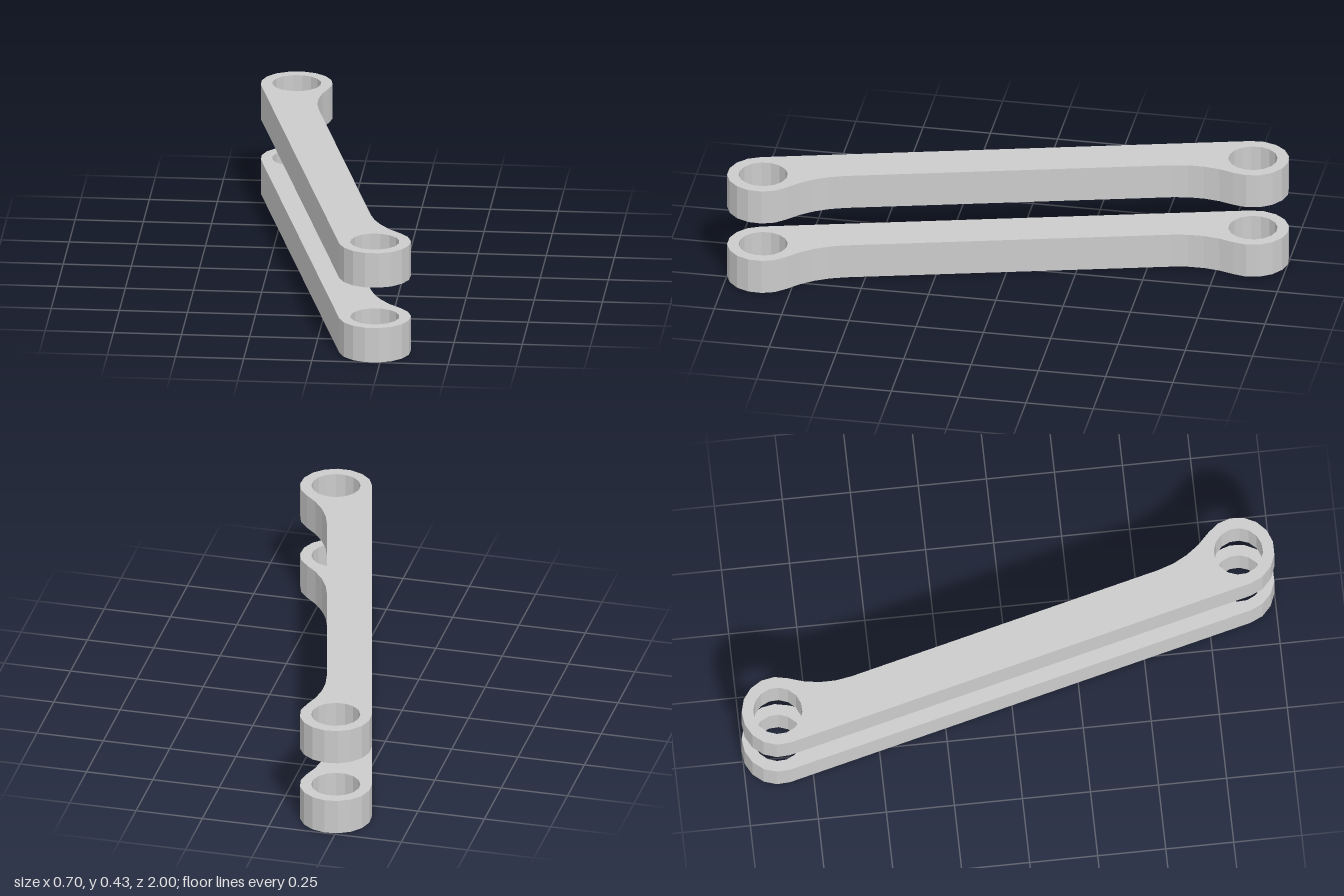
import * as THREE from 'three';

const HALF = 0.897;      // half the distance between the eye centres
const EYE = 0.132;       // eye outer radius
const HOLE = 0.09;       // eye hole radius
const EDGE = 0.033;      // offset of the bar's inner edge from the eye axis
const FILLET = 0.37;     // blend radius between inner edge and eye
const THICK = 0.133;

// points along an arc, angles in radians
function arc(cx, cy, r, from, to, n) {
  return Array.from({ length: n + 1 }, (_, i) => {
    const t = from + (to - from) * i / n;
    return new THREE.Vector2(cx + r * Math.cos(t), cy + r * Math.sin(t));
  });
}

function linkGeometry() {
  const PI = Math.PI;
  const cy = EDGE + FILLET;
  const du = Math.sqrt((EYE + FILLET) ** 2 - cy ** 2);
  const t = Math.atan2(cy, du);

  // one straight side tangent to both eyes, the other side waisted with fillets
  const outline = [
    ...arc(-HALF, 0, EYE, t, 1.5 * PI, 10),
    ...arc(HALF, 0, EYE, 1.5 * PI, 3 * PI - t, 10),
    ...arc(HALF - du, cy, FILLET, -t, -PI / 2, 4).slice(1),
    ...arc(-HALF + du, cy, FILLET, -PI / 2, t - PI, 4).slice(0, -1),
  ];
  const shape = new THREE.Shape(outline);
  for (const x of [-HALF, HALF]) {
    shape.holes.push(new THREE.Path(arc(x, 0, HOLE, 0, 2 * PI, 16).slice(0, -1)));
  }

  // lay the link flat, its length running diagonally from back right to front left
  const a = Math.atan2(0.22, 0.87);
  const along = new THREE.Vector3(Math.sin(a), 0, Math.cos(a));
  const across = new THREE.Vector3(Math.cos(a), 0, -Math.sin(a));
  const up = new THREE.Vector3(0, 1, 0);
  return new THREE.ExtrudeGeometry(shape, { depth: THICK, bevelEnabled: false })
    .applyMatrix4(new THREE.Matrix4().makeBasis(along, across, up));
}

export function createModel() {
  const group = new THREE.Group();
  group.name = 'linkPair';
  const material = new THREE.MeshStandardMaterial({ color: 0xcccccc, flatShading: true });
  const geometry = linkGeometry();

  // two identical links, one above the other, with a very slight forward tilt
  [['lowerLink', 0.002], ['upperLink', 0.291]].forEach(([name, y]) => {
    const link = new THREE.Mesh(geometry, material);
    link.name = name;
    link.position.y = y;
    link.rotation.x = 0.0015;
    group.add(link);
  });
  return group;
}
